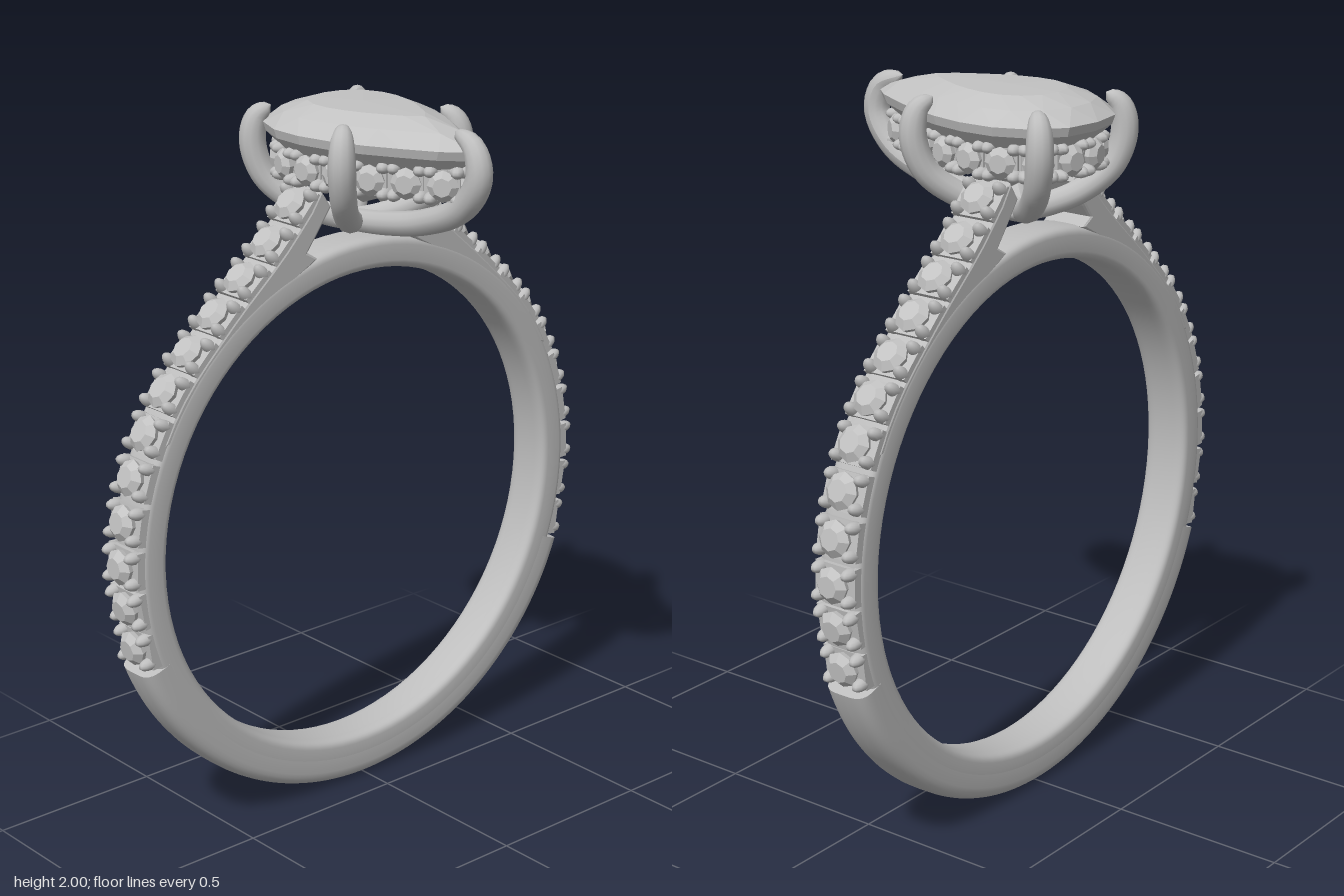
import * as THREE from 'three';
import { mergeGeometries } from 'three/addons/utils/BufferGeometryUtils.js';

const CY = 0.83, CZ = -0.155; // band centre
const V = (x, y, z) => new THREE.Vector3(x, y, z);

export function createModel() {
  const metal = new THREE.MeshStandardMaterial({ color: 0xbebebe });
  const gem = new THREE.MeshStandardMaterial({ color: 0xc2c2c2 });
  metal.side = THREE.DoubleSide;
  const model = new THREE.Group();

  const add = (name, geometry, material, parent = model) => {
    const mesh = new THREE.Mesh(geometry, material);
    mesh.name = name;
    parent.add(mesh);
    return mesh;
  };
  const facet = (geometry) => {
    const g = geometry.index ? geometry.toNonIndexed() : geometry;
    g.computeVertexNormals();
    return g;
  };

  // Band: rounded section turned about the finger axis
  const bandSection = (inner, outer, power) => {
    const pts = [];
    const p = (v) => Math.sign(v) * Math.pow(Math.abs(v), power);
    for (let i = 0; i <= 32; i++) {
      const a = (i / 32) * Math.PI * 2;
      pts.push(new THREE.Vector2(
        (inner + outer) / 2 + ((outer - inner) / 2) * p(Math.cos(a)), 0.07 * p(Math.sin(a))));
    }
    return pts;
  };
  const band = (name, pts, start, length) => {
    const g = new THREE.LatheGeometry(pts, 96, start, length);
    g.rotateX(Math.PI / 2);
    add(name, g, metal).position.set(0, CY, CZ);
  };
  band('upperBand', bandSection(0.695, 0.787, 0.45), 0, Math.PI * 2);
  const lower = bandSection(0.694, 0.83, 0.55);
  const half = 1.21;
  band('lowerBand', lower, -half, half * 2);
  for (const s of [-1, 1]) {
    const cap = add('lowerBandEnd', new THREE.ShapeGeometry(new THREE.Shape(lower)), metal);
    const x = V(Math.sin(s * half), -Math.cos(half), 0), y = V(0, 0, 1);
    cap.quaternion.setFromRotationMatrix(
      new THREE.Matrix4().makeBasis(x, y, x.clone().cross(y)));
    cap.position.set(0, CY, CZ);
  }

  // Small stone in a four-bead setting, facing +z
  const crown = new THREE.CylinderGeometry(0.03, 0.051, 0.018, 8).translate(0, 0.009, 0);
  const girdle = new THREE.CylinderGeometry(0.051, 0.04, 0.03, 8).translate(0, -0.015, 0);
  const stoneGeo = facet(mergeGeometries([crown, girdle]).rotateX(Math.PI / 2));
  const setting = (w, h, bx, by) => {
    const parts = [new THREE.BoxGeometry(w, h, 0.035).translate(0, 0, -0.032)];
    for (const i of [-1, 1]) for (const j of [-1, 1]) {
      parts.push(new THREE.SphereGeometry(0.019, 10, 8).scale(1, 0.9, 1.7)
        .translate(i * bx, j * by, -0.015));
    }
    return mergeGeometries(parts);
  };
  const bandSetting = setting(0.132, 0.104, 0.049, 0.037);
  const haloSetting = setting(0.085, 0.085, 0.036, 0.036);
  const station = (name, pos, normal, settingGeo, size) => {
    const g = new THREE.Group();
    g.name = name;
    add('beadSetting', settingGeo, metal, g);
    add('smallStone', stoneGeo, gem, g).scale.setScalar(size);
    g.position.copy(pos);
    g.lookAt(pos.clone().add(normal));
    model.add(g);
  };

  // Stones up both flanks and the rising shoulders beneath them
  const flank = new THREE.CatmullRomCurve3([
    V(0.778, 0.61, 0), V(0.811, 0.85, 0), V(0.768, 1.09, 0), V(0.66, 1.3, 0),
    V(0.49, 1.48, 0), V(0.3, 1.65, 0), V(0.212, 1.745, 0)]);
  const flankAt = (u) => {
    const t = flank.getTangentAt(u);
    return { p: flank.getPointAt(u), n: V(t.y, -t.x, 0) };
  };
  for (const s of [-1, 1]) {
    for (let i = 0; i < 12; i++) {
      const { p, n } = flankAt(i / 11);
      station('bandStone', V(s * p.x, p.y, CZ), V(s * n.x, n.y, 0), bandSetting, 1);
    }
    const outline = [];
    for (let i = 0; i <= 12; i++) {
      const { p, n } = flankAt(0.45 + (0.55 * i) / 12);
      p.addScaledVector(n, -0.034);
      outline.push(new THREE.Vector2(s * p.x, p.y));
    }
    for (const [x, y] of [[0.155, 1.77], [0.13, 1.73], [0.185, 1.655], [0.215, 1.615],
      [0.18, 1.595], [0.3, 1.53], [0.5, 1.37], [0.62, 1.2]]) {
      outline.push(new THREE.Vector2(s * x, y));
    }
    const shoulder = new THREE.ExtrudeGeometry(new THREE.Shape(outline), {
      depth: 0.116, bevelEnabled: true, bevelSize: 0.008, bevelThickness: 0.01, bevelSegments: 2 });
    add('shoulder', shoulder, metal).position.z = CZ - 0.058;
  }

  // Pear outline shared by the centre stone and its hidden halo
  const side = [[0.12, -0.36], [0.197, -0.275], [0.224, -0.15], [0.19, 0.03], [0.11, 0.2]];
  const pear = new THREE.CatmullRomCurve3([
    V(0, 0, -0.385), ...side.map(([x, z]) => V(x, 0, z)), V(0, 0, 0.35),
    ...side.slice().reverse().map(([x, z]) => V(-x, 0, z))], true);
  const pearAt = (u, scale, y) => {
    const p = pear.getPointAt(((u % 1) + 1) % 1);
    return V(p.x * scale, y, -0.1 + (p.z + 0.1) * scale);
  };

  // Centre stone: rings of scale, height and half-step shift
  const N = 18, pos = [];
  const rings = [[0, 1.72, 0], [0.62, 1.82, 0], [0.97, 1.91, 0], [1, 1.935, 0],
    [0.82, 1.972, 0.5], [0.55, 1.997, 1], [0, 2.0, 1]];
  for (let k = 0; k + 1 < rings.length; k++) {
    const at = (r, i) => pearAt((i + r[2]) / N, r[0], r[1]);
    const a = rings[k], b = rings[k + 1];
    for (let i = 0; i < N; i++) {
      for (const v of [at(a, i), at(b, i), at(a, i + 1), at(a, i + 1), at(b, i), at(b, i + 1)]) {
        pos.push(v.x, v.y, v.z);
      }
    }
  }
  const pearGeo = new THREE.BufferGeometry();
  pearGeo.setAttribute('position', new THREE.Float32BufferAttribute(pos, 3));
  add('centreStone', facet(pearGeo), gem);

  // Halo rail with outward-facing stones
  const loop = (scale) => Array.from({ length: 48 }, (_, i) => {
    const p = pearAt(i / 48, scale, 0);
    return new THREE.Vector2(p.x, -p.z);
  });
  const railShape = new THREE.Shape(loop(0.79));
  railShape.holes.push(new THREE.Path(loop(0.66)));
  const rail = new THREE.ExtrudeGeometry(railShape, { depth: 0.08, bevelEnabled: false });
  rail.rotateX(-Math.PI / 2);
  add('haloRail', rail, metal).position.y = 1.795;
  for (let i = 0; i < 16; i++) {
    const u = (i + 0.5) / 16, t = pear.getTangentAt(u);
    station('haloStone', pearAt(u, 0.87, 1.836), V(t.z, 0, -t.x), haloSetting, 0.85);
  }

  // Five claws sweeping out from the base of the basket and over the girdle
  const claw = (x, z) => {
    const steps = [[0.0, 1.665], [0.28, 1.68], [0.62, 1.715], [0.92, 1.78],
      [1.045, 1.87], [1.0, 1.945], [0.85, 1.978]];
    const path = new THREE.CatmullRomCurve3(
      steps.map(([f, y]) => V(x * f, y, -0.14 + (z + 0.14) * f)));
    const g = new THREE.TubeGeometry(path, 40, 0.036, 12);
    const p = g.attributes.position, v = V(0, 0, 0);
    for (let i = 0; i < p.count; i++) {
      const u = Math.floor(i / 13) / 40, c = path.getPointAt(u);
      const k = u < 0.7 ? 0.9 + 0.2 * u : 1.04 * Math.sqrt(Math.max(0, 1 - ((u - 0.7) / 0.3) ** 2.6));
      v.fromBufferAttribute(p, i).sub(c).multiplyScalar(k).add(c);
      p.setXYZ(i, v.x, v.y, v.z);
    }
    g.computeVertexNormals();
    add('claw', g, metal);
  };
  claw(0, 0.335);
  for (const s of [-1, 1]) {
    claw(s * 0.2, 0.05);
    claw(s * 0.18, -0.33);
  }
  const base = new THREE.SphereGeometry(0.05, 20, 14).scale(1.2, 0.6, 1.2);
  add('basketBase', base, metal).position.set(0, 1.665, -0.14);

  return model;
}
